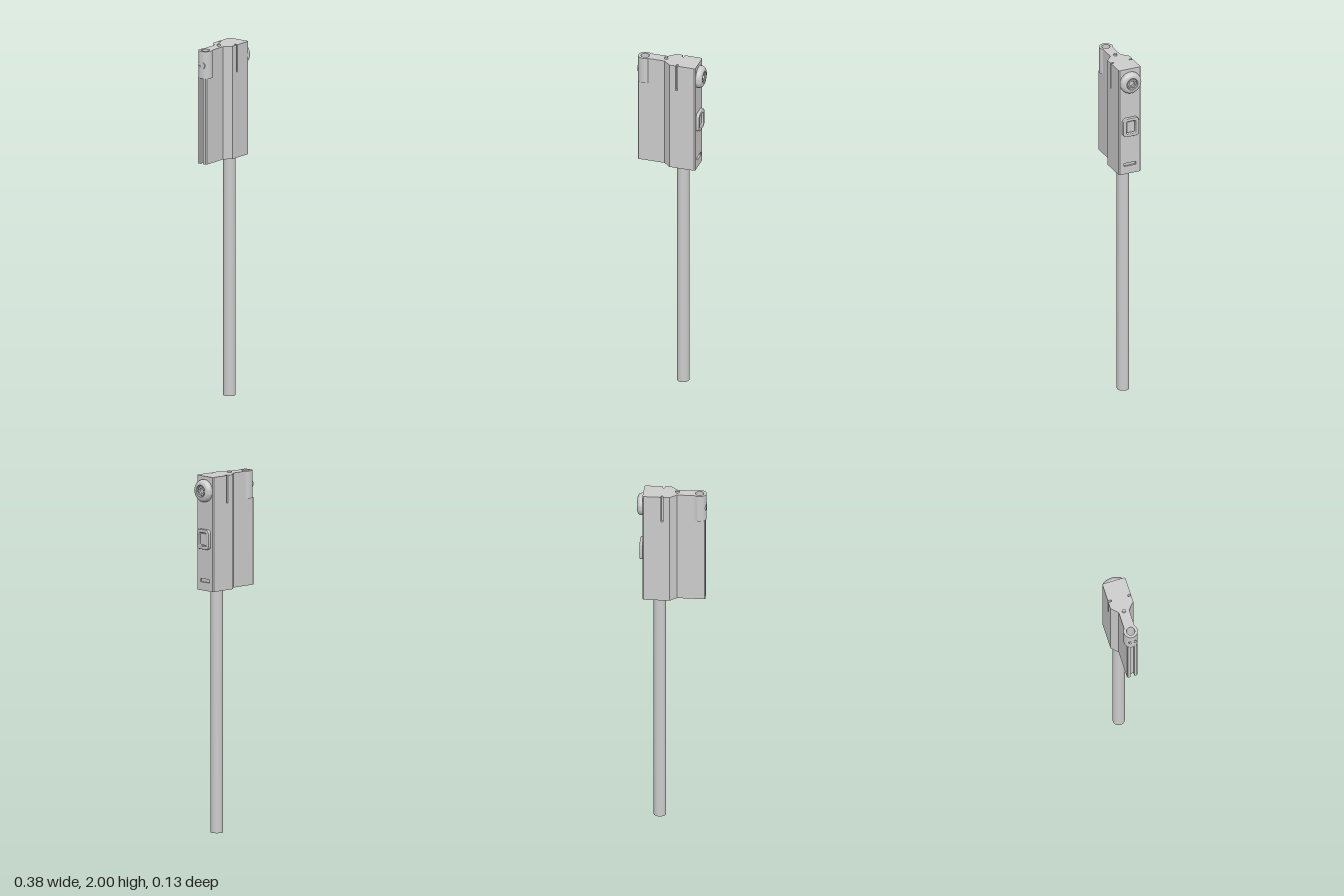
import * as THREE from 'three';
import { toCreasedNormals } from 'three/addons/utils/BufferGeometryUtils.js';

const material = new THREE.MeshStandardMaterial({ color: 0xcccccc });

function add(parent, name, geometry, x = 0, y = 0, z = 0) {
  const mesh = new THREE.Mesh(geometry, material);
  mesh.name = name;
  mesh.position.set(x, y, z);
  parent.add(mesh);
  return mesh;
}

function extrude(shape, depth, bevel = 0) {
  const g = new THREE.ExtrudeGeometry(shape, {
    depth: depth - bevel, curveSegments: 24, bevelEnabled: bevel > 0,
    bevelSize: bevel, bevelThickness: bevel, bevelOffset: -bevel, bevelSegments: 4,
  });
  return toCreasedNormals(g, 0.5);
}

const circle = (r, x = 0) => new THREE.Path().absarc(x, 0, r, 0, Math.PI * 2, true);

function hexagon(r, Type = THREE.Shape) {
  const pts = [];
  for (let i = 0; i < 6; i++) {
    const a = (i * Math.PI) / 3;
    pts.push(new THREE.Vector2(r * Math.cos(a), r * Math.sin(a)));
  }
  return new Type(pts);
}

function roundedRect(w, h, r, Type = THREE.Shape) {
  const s = new Type();
  s.absarc(w - r, h - r, r, 0, Math.PI / 2);
  s.absarc(r - w, h - r, r, Math.PI / 2, Math.PI);
  s.absarc(r - w, r - h, r, Math.PI, Math.PI * 1.5);
  s.absarc(w - r, r - h, r, Math.PI * 1.5, Math.PI * 2);
  s.closePath();
  return s;
}

const BOSS_X = -0.152, BOSS_R = 0.039, PLATE = 0.03, HALF = 0.066;

// Plan of the housing; the top layer has a boss and slots, the lower ones an edge groove
function housingPlan(top, notch) {
  const s = new THREE.Shape();
  s.moveTo(-0.03, -PLATE);
  s.lineTo(0.008, -HALF);
  if (top) {
    s.lineTo(0.045, -HALF);
    s.lineTo(0.045, -0.047);
    s.lineTo(0.055, -0.047);
    s.lineTo(0.055, -HALF);
  }
  s.lineTo(0.151, -HALF);
  s.lineTo(0.157, -HALF + 0.006);
  if (notch) {
    s.lineTo(0.157, -0.036);
    s.lineTo(0.147, -0.036);
    s.lineTo(0.147, 0.036);
    s.lineTo(0.157, 0.036);
  }
  s.lineTo(0.157, HALF - 0.006);
  s.lineTo(0.151, HALF);
  if (top) {
    s.lineTo(0.055, HALF);
    s.lineTo(0.055, 0.047);
    s.lineTo(0.045, 0.047);
    s.lineTo(0.045, HALF);
  }
  s.lineTo(0.008, HALF);
  s.lineTo(-0.03, PLATE);
  if (top) {
    const a = Math.asin(PLATE / BOSS_R);
    s.absarc(BOSS_X, 0, BOSS_R, a, Math.PI * 2 - a);
    s.holes.push(circle(0.023, BOSS_X));
  } else {
    s.lineTo(-0.181, PLATE);
    s.lineTo(-0.186, PLATE - 0.005);
    s.lineTo(-0.186, 0.011);
    s.lineTo(-0.168, 0.011);
    s.lineTo(-0.168, -0.011);
    s.lineTo(-0.186, -0.011);
    s.lineTo(-0.186, -PLATE + 0.005);
    s.lineTo(-0.181, -PLATE);
  }
  s.closePath();
  return s;
}

export function createModel() {
  const model = new THREE.Group();
  model.name = 'rodMountedUnit';

  // Housing, stacked in layers so that recesses are real cuts
  const housing = new THREE.Group();
  housing.name = 'housing';
  model.add(housing);
  const layers = [
    ['housingFoot', 1.353, 1.4, false, false],
    ['housingNotchLayer', 1.4, 1.418, false, true],
    ['housingMiddle', 1.418, 1.837, false, false],
    ['housingTop', 1.837, 1.99, true, false],
  ];
  for (const [name, y0, y1, top, notch] of layers) {
    const g = extrude(housingPlan(top, notch), y1 - y0).rotateX(-Math.PI / 2);
    add(housing, name, g, 0, y0);
  }

  // Support rod and locating pin
  add(model, 'rod', new THREE.CylinderGeometry(0.034, 0.034, 1.36, 40), 0.067, 0.68);
  add(model, 'topPin', new THREE.CylinderGeometry(0.01, 0.01, 0.04, 20), -0.03, 1.98);

  // Round knob: domed ring with a hexagonal socket screw in the middle
  const knob = new THREE.Group();
  knob.name = 'knob';
  knob.position.set(0.155, 1.91, 0);
  model.add(knob);
  const profile = [
    [0, 0], [0.06, 0], [0.062, 0.003], [0.062, 0.014], [0.06, 0.021], [0.055, 0.028],
    [0.047, 0.033], [0.038, 0.035], [0.034, 0.035], [0.031, 0.032], [0.031, 0.018], [0, 0.018],
  ].map(([r, h]) => new THREE.Vector2(r, h));
  const dome = toCreasedNormals(new THREE.LatheGeometry(profile, 48), 0.6);
  add(knob, 'knobDome', dome.rotateZ(-Math.PI / 2));
  const nut = hexagon(0.027);
  nut.holes.push(circle(0.016));
  add(knob, 'knobNut', extrude(nut, 0.012).rotateY(Math.PI / 2), 0.018);

  // Rectangular push button inside a rounded frame
  const frame = roundedRect(0.047, 0.055, 0.02);
  frame.holes.push(roundedRect(0.028, 0.037, 0.006, THREE.Path));
  add(model, 'buttonFrame', extrude(frame, 0.02, 0.004).rotateY(Math.PI / 2), 0.155, 1.64);
  add(model, 'buttonPad', extrude(roundedRect(0.023, 0.032, 0.004), 0.011).rotateY(Math.PI / 2), 0.155, 1.64);

  // Set screw through the outer side of the boss
  const screw = new THREE.Shape().absarc(0, 0, 0.022, 0, Math.PI * 2);
  screw.holes.push(hexagon(0.012, THREE.Path));
  add(model, 'setScrew', extrude(screw, 0.03).rotateY(-Math.PI / 2), -0.161, 1.91);
  const core = new THREE.CylinderGeometry(0.021, 0.021, 0.022, 24).rotateZ(Math.PI / 2);
  add(model, 'setScrewCore', core, -0.17, 1.91);

  return model;
}
